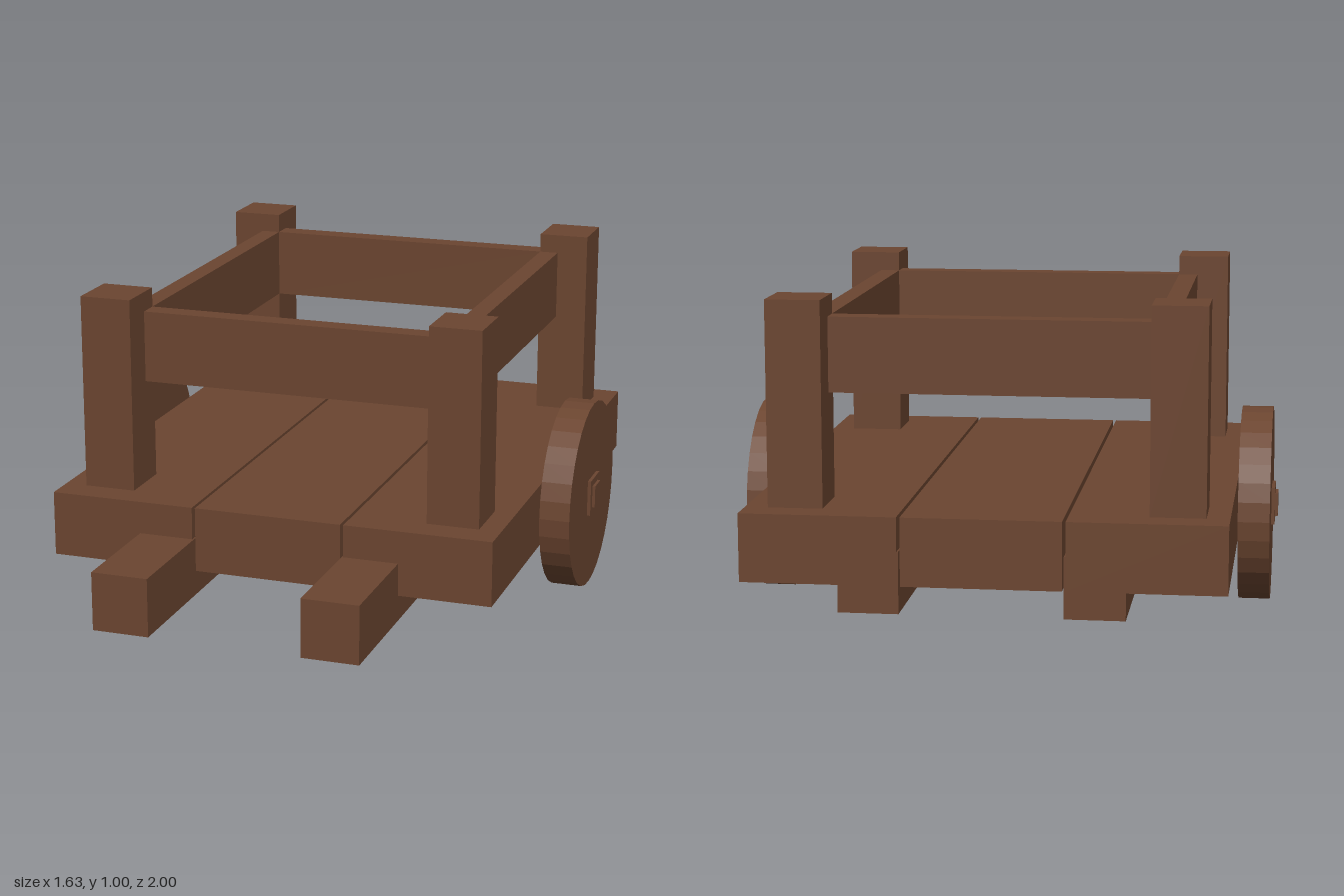
import * as THREE from 'three';

const wood = new THREE.MeshStandardMaterial({ color: 0x6b4530, flatShading: true });

// Box given by its minimum and maximum corners
function box(name, [x0, y0, z0], [x1, y1, z1]) {
  const mesh = new THREE.Mesh(new THREE.BoxGeometry(x1 - x0, y1 - y0, z1 - z0), wood);
  mesh.name = name;
  mesh.position.set((x0 + x1) / 2, (y0 + y1) / 2, (z0 + z1) / 2);
  return mesh;
}

// Solid disc wheel with a stepped square hub, axis along x
function wheel(side) {
  const group = new THREE.Group();
  group.name = side > 0 ? 'leftWheel' : 'rightWheel';
  const disc = new THREE.Mesh(new THREE.CylinderGeometry(0.298, 0.298, 0.095, 32), wood);
  disc.name = 'wheelDisc';
  disc.rotation.z = Math.PI / 2;
  group.add(disc);
  const hubPlate = box('hubPlate', [0, -0.057, -0.057], [0.058, 0.057, 0.057]);
  const hubCap = box('hubCap', [0, -0.035, -0.035], [0.067, 0.035, 0.035]);
  for (const part of [hubPlate, hubCap]) {
    part.position.x *= side;
    group.add(part);
  }
  group.position.set(side * 0.748, 0.298, -0.18);
  return group;
}

export function createModel() {
  const cart = new THREE.Group();
  cart.name = 'cart';

  // Deck of three planks with narrow gaps
  for (const [x0, x1] of [[-0.695, -0.24], [-0.23, 0.23], [0.24, 0.695]]) {
    cart.add(box('deckPlank', [x0, 0.2, -1], [x1, 0.4, 0.643]));
  }

  for (const side of [1, -1]) {
    const label = side > 0 ? 'left' : 'right';
    const mirrored = (mesh) => {
      mesh.position.x *= side;
      cart.add(mesh);
    };
    // Long beams under the deck, reaching forward as handles
    mirrored(box(label + 'Beam', [0.235, 0.12, -1], [0.41, 0.3, 1]));
    // Corner posts
    mirrored(box(label + 'FrontPost', [0.468, 0.4, 0.378], [0.628, 1, 0.55]));
    mirrored(box(label + 'BackPost', [0.468, 0.4, -0.91], [0.628, 1, -0.738]));
    // Side rail between the posts
    mirrored(box(label + 'Rail', [0.468, 0.72, -0.738], [0.528, 0.94, 0.378]));
    cart.add(wheel(side));
  }

  // End rails
  cart.add(box('frontRail', [-0.468, 0.72, 0.378], [0.468, 0.94, 0.443]));
  cart.add(box('backRail', [-0.468, 0.72, -0.806], [0.468, 0.94, -0.738]));

  return cart;
}
